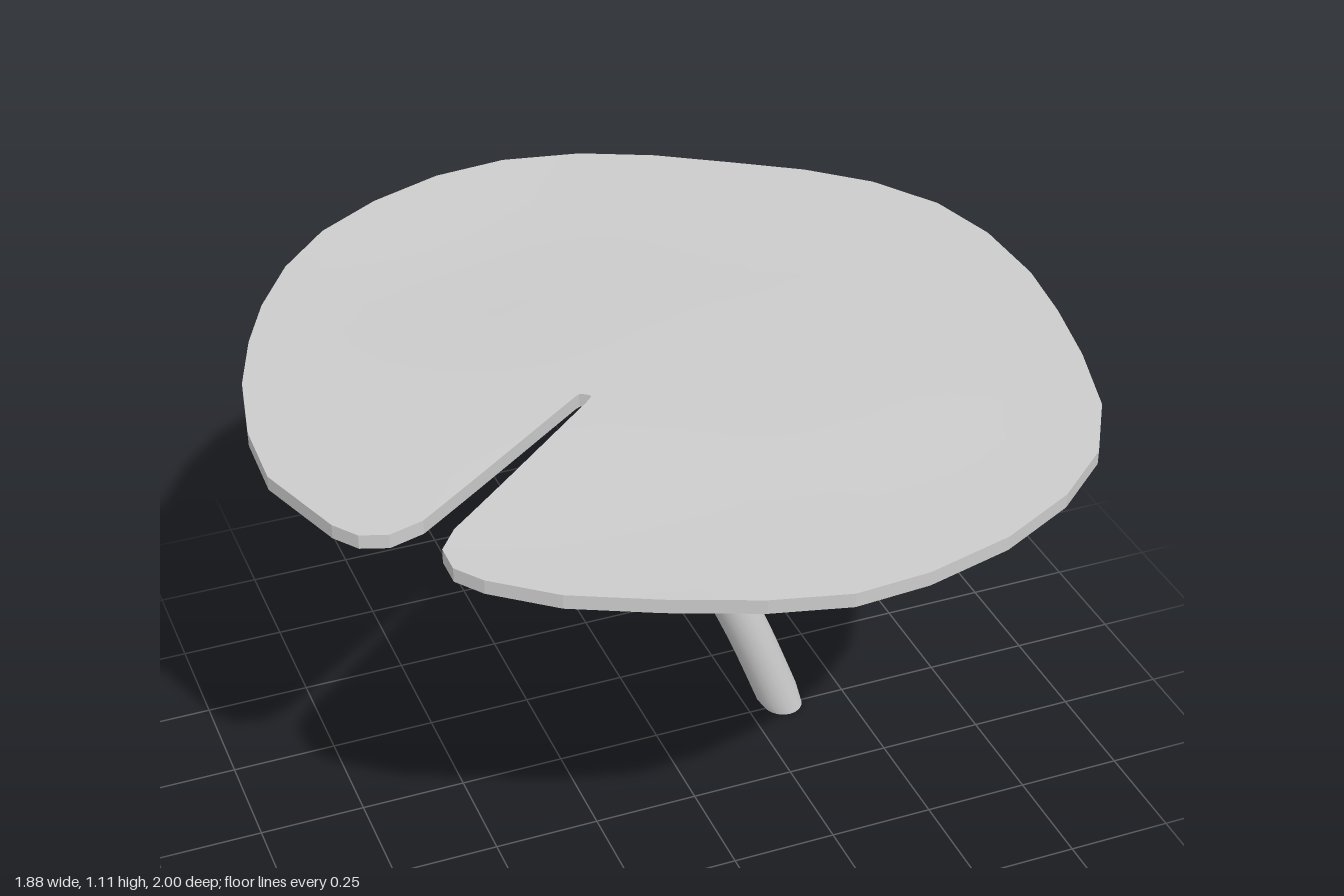
import * as THREE from 'three';

const material = new THREE.MeshStandardMaterial({ color: 0xcccccc });
const THICKNESS = 0.033;
const RINGS = 10;

// Leaf outline (x, z), running from one lip of the slit round to the other
const OUTLINE = [
  [-0.69, 0.45], [-0.77, 0.475], [-0.83, 0.455], [-0.87, 0.4], [-0.945, 0.18], [-0.94, 0],
  [-0.9, -0.2], [-0.84, -0.37], [-0.77, -0.52], [-0.67, -0.68], [-0.54, -0.82], [-0.38, -0.92],
  [-0.2, -0.985], [-0.02, -1], [0.17, -0.96], [0.34, -0.88], [0.51, -0.77], [0.66, -0.67],
  [0.79, -0.55], [0.89, -0.39], [0.935, -0.21], [0.94, 0], [0.915, 0.18], [0.875, 0.37],
  [0.815, 0.57], [0.72, 0.73], [0.58, 0.85], [0.4, 0.94], [0.2, 0.99], [0.03, 1],
  [-0.14, 0.955], [-0.33, 0.875], [-0.51, 0.79], [-0.64, 0.69], [-0.685, 0.63],
  [-0.685, 0.56], [-0.64, 0.5],
];
// Two corners of the slit's narrow inner end
const SLIT_A = [-0.225, 0.11], SLIT_B = [-0.2, 0.13];

// Gentle waves of the upper surface
const bump = (x, z, cx, cz, r) => Math.exp(-((x - cx) ** 2 + (z - cz) ** 2) / (r * r));
const topHeight = (x, z) => 1.105
  - 0.02 * bump(x, z, -0.3, -0.6, 0.35)
  - 0.012 * bump(x, z, -0.35, 0.7, 0.35)
  - 0.006 * bump(x, z, 0.1, 1, 0.4)
  + 0.008 * bump(x, z, 0.5, 0.15, 0.45);

// Point on the leaf: i along the outline, j from slit end outward
function leafPoint(i, j) {
  const u = i / (OUTLINE.length - 1), t = j / RINGS;
  const [x, z] = [0, 1].map((k) => {
    const inner = SLIT_A[k] + (SLIT_B[k] - SLIT_A[k]) * u;
    return inner + (OUTLINE[i][k] - inner) * t;
  });
  return [x, topHeight(x, z), z];
}

function buildGeometry(positions, index) {
  const geometry = new THREE.BufferGeometry();
  geometry.setAttribute('position', new THREE.Float32BufferAttribute(positions, 3));
  if (index) geometry.setIndex(index);
  geometry.computeVertexNormals();
  return geometry;
}

// Upper or lower smooth face of the leaf
function leafFace(drop, flip) {
  const positions = [], index = [], row = RINGS + 1;
  for (let i = 0; i < OUTLINE.length; i++) {
    for (let j = 0; j <= RINGS; j++) {
      const [x, y, z] = leafPoint(i, j);
      positions.push(x, y - drop, z);
    }
  }
  for (let i = 0; i < OUTLINE.length - 1; i++) {
    for (let j = 0; j < RINGS; j++) {
      const a = i * row + j, b = a + row, c = b + 1, d = a + 1;
      if (flip) index.push(a, d, c, a, c, b);
      else index.push(a, c, d, a, b, c);
    }
  }
  return buildGeometry(positions, index);
}

// Faceted wall round the rim and along both sides of the slit
function leafRim() {
  const last = OUTLINE.length - 1, loop = [];
  for (let j = 0; j < RINGS; j++) loop.push(leafPoint(0, j));
  for (let i = 0; i <= last; i++) loop.push(leafPoint(i, RINGS));
  for (let j = RINGS - 1; j >= 0; j--) loop.push(leafPoint(last, j));
  const positions = [];
  loop.forEach((p, i) => {
    const q = loop[(i + 1) % loop.length];
    const pb = [p[0], p[1] - THICKNESS, p[2]], qb = [q[0], q[1] - THICKNESS, q[2]];
    positions.push(...p, ...q, ...qb, ...p, ...qb, ...pb);
  });
  return buildGeometry(positions);
}

// Curved stem, its foot cut level with the ground
function stemGeometry() {
  const path = new THREE.CatmullRomCurve3([
    [-0.012, 1.09], [-0.01, 0.95], [0.01, 0.8], [0.055, 0.65], [0.155, 0.45], [0.24, 0.26], [0.34, 0],
  ].map(([x, y]) => new THREE.Vector3(x, y, -0.01)));
  const segments = 24, sides = 20;
  const geometry = new THREE.TubeGeometry(path, segments, 0.053, sides, false);
  const position = geometry.attributes.position;
  for (let i = segments * (sides + 1); i < position.count; i++) position.setY(i, 0);
  return geometry;
}

export function createModel() {
  const group = new THREE.Group();
  group.name = 'lilyPad';
  const add = (name, geometry, parent = group) => {
    const mesh = new THREE.Mesh(geometry, material);
    mesh.name = name;
    parent.add(mesh);
    return mesh;
  };

  const leaf = new THREE.Group();
  leaf.name = 'leaf';
  group.add(leaf);
  add('leafTop', leafFace(0, false), leaf);
  add('leafUnderside', leafFace(THICKNESS, true), leaf);
  add('leafRim', leafRim(), leaf);

  add('stem', stemGeometry());
  const foot = add('stemFoot', new THREE.CircleGeometry(0.051, 20).rotateX(Math.PI / 2));
  foot.position.set(0.34, 0, -0.01);
  return group;
}
